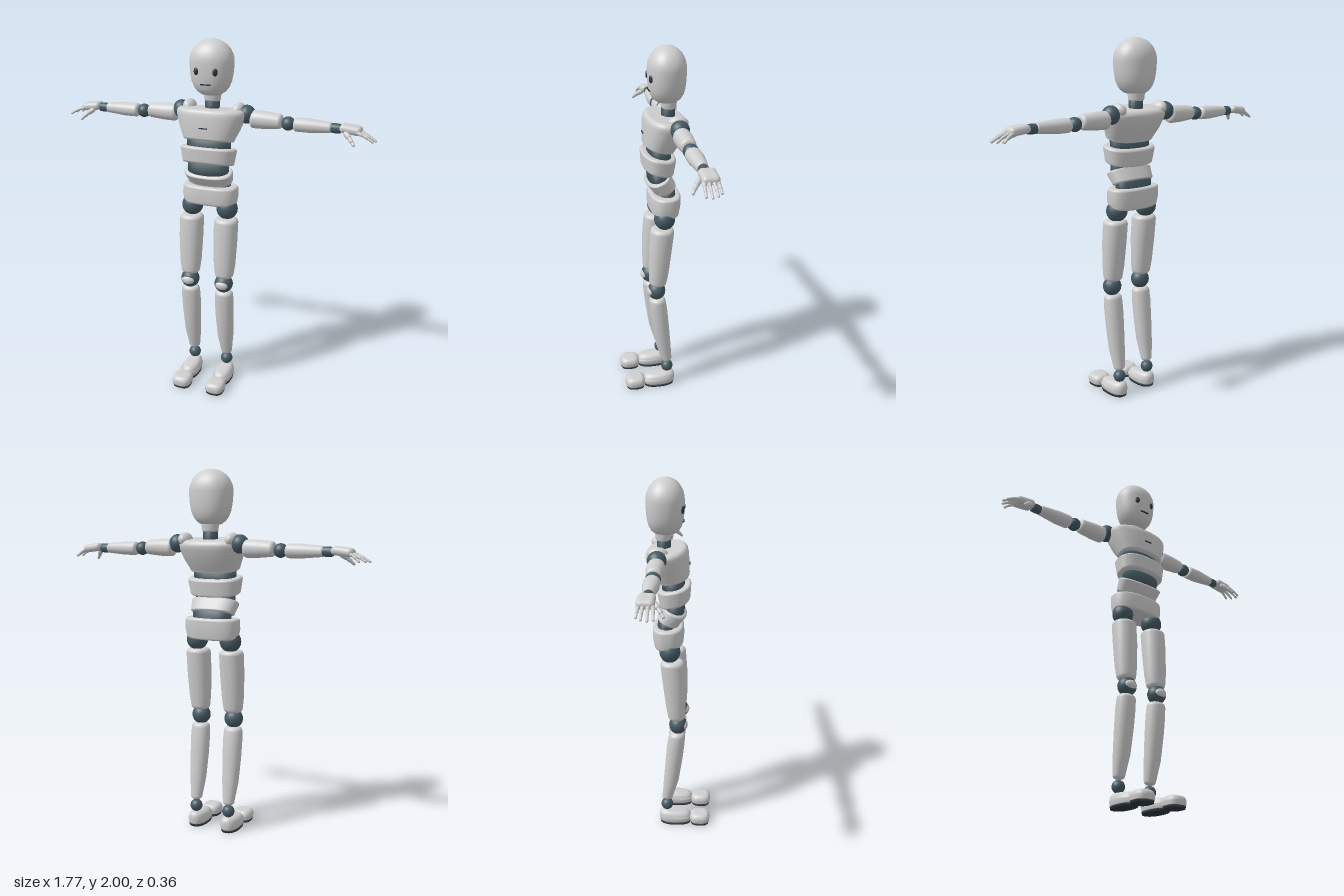
import * as THREE from 'three';
import { RoundedBoxGeometry } from 'three/addons/geometries/RoundedBoxGeometry.js';

const mat = (name, color) => Object.assign(new THREE.MeshStandardMaterial({ color }), { name });

// Closed loft of superellipse sections [y, halfWidth, halfDepth, centreZ, tilt], bottom to top.
// rb and rt round the lower and upper rims; tilt > 0 raises the front.
function loft(sections, rb = 0, rt = 0, n = 2, seg = 40) {
  const rings = [];
  const steps = 5;
  const rim = (s, r, dir, k) => {
    const a = (k / steps) * Math.PI / 2, inset = r * (1 - Math.sin(a));
    return [s[0] + dir * r * (1 - Math.cos(a)), s[1] - inset, s[2] - inset, s[3], s[4]];
  };
  const first = sections[0], last = sections[sections.length - 1];
  if (rb) for (let k = 0; k <= steps; k++) {
    const a = (k / steps) * Math.PI / 2, inset = rb * (1 - Math.sin(a));
    rings.push([first[0] + rb * (1 - Math.cos(a)), first[1] - inset, first[2] - inset, first[3], first[4]]);
  } else rings.push(first);
  rings.push(...sections.slice(1, -1));
  if (rt) for (let k = steps; k >= 0; k--) rings.push(rim(last, rt, -1, k));
  else rings.push(last);

  const pos = [], idx = [];
  const pw = v => Math.sign(v) * Math.abs(v) ** (2 / n);
  for (const [y, w, d, cz = 0, tilt = 0] of rings)
    for (let i = 0; i < seg; i++) {
      const t = (i / seg) * Math.PI * 2, z = d * pw(Math.cos(t));
      pos.push(w * pw(Math.sin(t)), y + tilt * z, cz + z);
    }
  for (let j = 0; j < rings.length - 1; j++)
    for (let i = 0; i < seg; i++) {
      const a = j * seg + i, b = j * seg + (i + 1) % seg;
      idx.push(a, b, b + seg, a, b + seg, a + seg);
    }
  const c0 = pos.length / 3, top = (rings.length - 1) * seg, end = rings[rings.length - 1];
  pos.push(0, rings[0][0], rings[0][3] || 0, 0, end[0], end[3] || 0);
  for (let i = 0; i < seg; i++) {
    const k = (i + 1) % seg;
    idx.push(c0, k, i, c0 + 1, top + i, top + k);
  }
  const g = new THREE.BufferGeometry();
  g.setAttribute('position', new THREE.Float32BufferAttribute(pos, 3));
  g.setIndex(idx);
  g.computeVertexNormals();
  return g;
}

export function createModel() {
  const root = new THREE.Group();
  root.name = 'jointedMannequin';
  const shell = mat('light grey shell', 0xcfcfcf);
  const joint = mat('slate joint', 0x455a64);
  const dark = mat('dark detail', 0x2b343c);

  const add = (name, geo, m, x = 0, y = 0, z = 0, parent = root) => {
    const mesh = new THREE.Mesh(geo, m);
    mesh.name = name;
    mesh.position.set(x, y, z);
    parent.add(mesh);
    return mesh;
  };
  const ball = (name, m, x, y, z, rx, ry = rx, rz = rx, parent = root) => {
    const b = add(name, new THREE.SphereGeometry(1, 32, 20), m, x, y, z, parent);
    b.scale.set(rx, ry, rz);
    return b;
  };
  const segment = (name, a, b, r, parent) => {
    const d = b.clone().sub(a), mid = a.clone().add(b).multiplyScalar(0.5);
    const c = add(name, new THREE.CapsuleGeometry(r, d.length() - r, 4, 12), shell, mid.x, mid.y, mid.z, parent);
    c.quaternion.setFromUnitVectors(new THREE.Vector3(0, 1, 0), d.normalize());
  };

  // Head: narrowing jaw below, dome above
  const headZ = -0.077;
  const head = [[1.708, 0.035, 0.035, headZ], [1.713, 0.055, 0.055, headZ], [1.728, 0.077, 0.074, headZ],
    [1.75, 0.094, 0.087, headZ], [1.78, 0.107, 0.095, headZ], [1.82, 0.115, 0.1, headZ], [1.86, 0.119, 0.101, headZ]];
  for (let k = 0; k < 12; k++) {
    const a = (k / 12) * Math.PI / 2;
    head.push([1.885 + 0.115 * Math.sin(a), 0.12 * Math.cos(a), 0.101 * Math.cos(a), headZ]);
  }
  head.push([2, 0.004, 0.004, headZ]);
  add('head', loft(head, 0, 0, 2.15, 48), shell);
  for (const s of [-1, 1]) ball('eye', dark, s * 0.053, 1.842, 0.016, 0.014, 0.02, 0.008).rotation.y = s * 0.4;
  add('mouth', new THREE.BoxGeometry(0.054, 0.006, 0.008), dark, 0, 1.775, 0.018);

  // Neck
  add('neckCollar', loft([[1.672, 0.044, 0.04, -0.088], [1.73, 0.05, 0.045, -0.088]], 0.008, 0.008), shell);
  add('neckJoint', loft([[1.61, 0.04, 0.037, -0.085], [1.68, 0.04, 0.037, -0.085]]), joint);

  // Torso segments, each leaning with the spine, with dark joints between
  add('chest', loft([[1.467, 0.143, 0.083, -0.032, 0.21], [1.53, 0.166, 0.1, -0.05, 0.17],
    [1.59, 0.188, 0.112, -0.066, 0.13], [1.636, 0.192, 0.112, -0.07, 0.1]], 0.012, 0.028, 2.4, 56), shell);
  add('chestSlit', new THREE.BoxGeometry(0.045, 0.005, 0.008), dark, 0, 1.55, 0.051);
  add('upperSpineJoint', loft([[1.41, 0.125, 0.062, -0.035, 0.2], [1.48, 0.125, 0.062, -0.035, 0.2]], 0, 0, 2.3), joint);
  add('ribSegment', loft([[1.338, 0.145, 0.083, -0.027, 0.22], [1.432, 0.156, 0.091, -0.031, 0.17]], 0.014, 0.014, 2.5, 48), shell);
  add('middleSpineJoint', loft([[1.28, 0.118, 0.054, -0.03, 0], [1.35, 0.118, 0.056, -0.026, 0.15]], 0, 0, 2.3), joint);
  add('waistSegment', loft([[1.23, 0.128, 0.061, -0.06, -0.36], [1.302, 0.138, 0.064, -0.028, -0.4]], 0.012, 0.012, 2.5, 48), shell);
  add('lowerSpineJoint', loft([[1.18, 0.115, 0.055, -0.072, 0], [1.25, 0.115, 0.05, -0.065, -0.25]], 0, 0, 2.3), joint);
  add('pelvis', loft([[1.098, 0.15, 0.08, -0.06, 0.1], [1.15, 0.158, 0.085, -0.062, 0.05],
    [1.21, 0.157, 0.084, -0.064, 0]], 0.014, 0.014, 2.6, 48), shell);

  for (const s of [-1, 1]) {
    const side = s > 0 ? 'left' : 'right';

    // Leg
    const leg = new THREE.Group();
    leg.name = side + 'Leg';
    leg.position.x = s * 0.103;
    root.add(leg);
    const inLeg = (name, geo, m) => add(name, geo, m, 0, 0, 0, leg);
    ball('hipJoint', joint, 0, 1.083, -0.05, 0.06, 0.06, 0.057, leg);
    inLeg('thigh', loft([[0.677, 0.054, 0.049, -0.014], [0.76, 0.061, 0.055, -0.018], [0.9, 0.067, 0.063, -0.027],
      [1.032, 0.067, 0.065, -0.037]], 0.026, 0.024, 2.2, 32), shell);
    ball('kneeJoint', joint, 0, 0.642, -0.006, 0.053, 0.053, 0.05, leg);
    ball('kneecap', shell, 0, 0.642, 0.025, 0.038, 0.028, 0.024, leg);
    inLeg('shin', loft([[0.155, 0.033, 0.031, -0.066], [0.28, 0.046, 0.043, -0.046], [0.42, 0.053, 0.048, -0.029],
      [0.52, 0.055, 0.049, -0.018], [0.597, 0.053, 0.046, -0.012]], 0.02, 0.026, 2.1, 32), shell);
    ball('ankleJoint', joint, 0, 0.117, -0.07, 0.035, 0.035, 0.034, leg);
    inLeg('heel', loft([[0.012, 0.05, 0.092, -0.02], [0.04, 0.055, 0.095, -0.02], [0.079, 0.05, 0.092, -0.022, -0.09]],
      0.008, 0.032, 2.4, 36), shell);
    inLeg('toe', loft([[0.012, 0.054, 0.056, 0.122], [0.035, 0.057, 0.058, 0.122], [0.066, 0.056, 0.057, 0.122]],
      0.006, 0.026, 2.8, 36), shell);
    inLeg('heelSole', loft([[0, 0.048, 0.087, -0.02], [0.014, 0.051, 0.091, -0.02]], 0, 0, 2.4), dark);
    inLeg('toeSole', loft([[0, 0.05, 0.052, 0.122], [0.014, 0.053, 0.055, 0.122]], 0, 0, 2.8), dark);

    // Arm, held straight out to the side
    const arm = new THREE.Group();
    arm.name = side + 'Arm';
    arm.position.z = -0.108;
    root.add(arm);
    const limb = (name, m, y, sections, ra, rb) => {
      add(name, loft(sections, ra, rb, 2.1, 32), m, 0, y, 0, arm).rotation.z = -s * Math.PI / 2;
    };
    ball('shoulderCap', shell, s * 0.14, 1.63, 0, 0.034, 0.04, 0.055, arm).rotation.z = -s * 0.4;
    ball('shoulderJoint', joint, s * 0.188, 1.61, 0, 0.047, 0.05, 0.05, arm);
    limb('upperArm', shell, 1.587, [[0.212, 0.048, 0.046], [0.29, 0.047, 0.047], [0.385, 0.04, 0.041]], 0.02, 0.018);
    ball('elbowJoint', joint, s * 0.418, 1.58, 0, 0.037, 0.037, 0.039, arm);
    limb('forearm', shell, 1.579, [[0.45, 0.037, 0.041], [0.53, 0.037, 0.041], [0.65, 0.028, 0.029]], 0.016, 0.012);
    limb('wristJoint', joint, 1.578, [[0.64, 0.024, 0.024], [0.67, 0.026, 0.026], [0.698, 0.024, 0.024]], 0.006, 0.006);

    // Hand: palm, four three-part fingers [z, tip reach], thumb
    const palm = add('palm', new RoundedBoxGeometry(0.112, 0.044, 0.084, 4, 0.021), shell, s * 0.748, 1.58, -0.002, arm);
    palm.rotation.z = -s * 0.12;
    for (const [z, tip] of [[-0.031, 0.842], [-0.012, 0.868], [0.011, 0.882], [0.032, 0.87]]) {
      const spread = z * 0.25;
      const at = t => new THREE.Vector3(s * (0.785 + (tip - 0.785) * t), 1.572 - 0.02 * t - 0.02 * t * t, z + spread * t);
      for (let k = 0; k < 3; k++) segment('finger', at(k / 3), at((k + 1) / 3), 0.0095 - k * 0.0015, arm);
    }
    const thumb = [[0.725, 1.567, 0.03], [0.75, 1.548, 0.052], [0.768, 1.531, 0.067], [0.782, 1.515, 0.078]]
      .map(p => new THREE.Vector3(s * p[0], p[1], p[2]));
    for (let k = 0; k < 3; k++) segment('thumb', thumb[k], thumb[k + 1], 0.014 - k * 0.003, arm);
  }
  return root;
}
